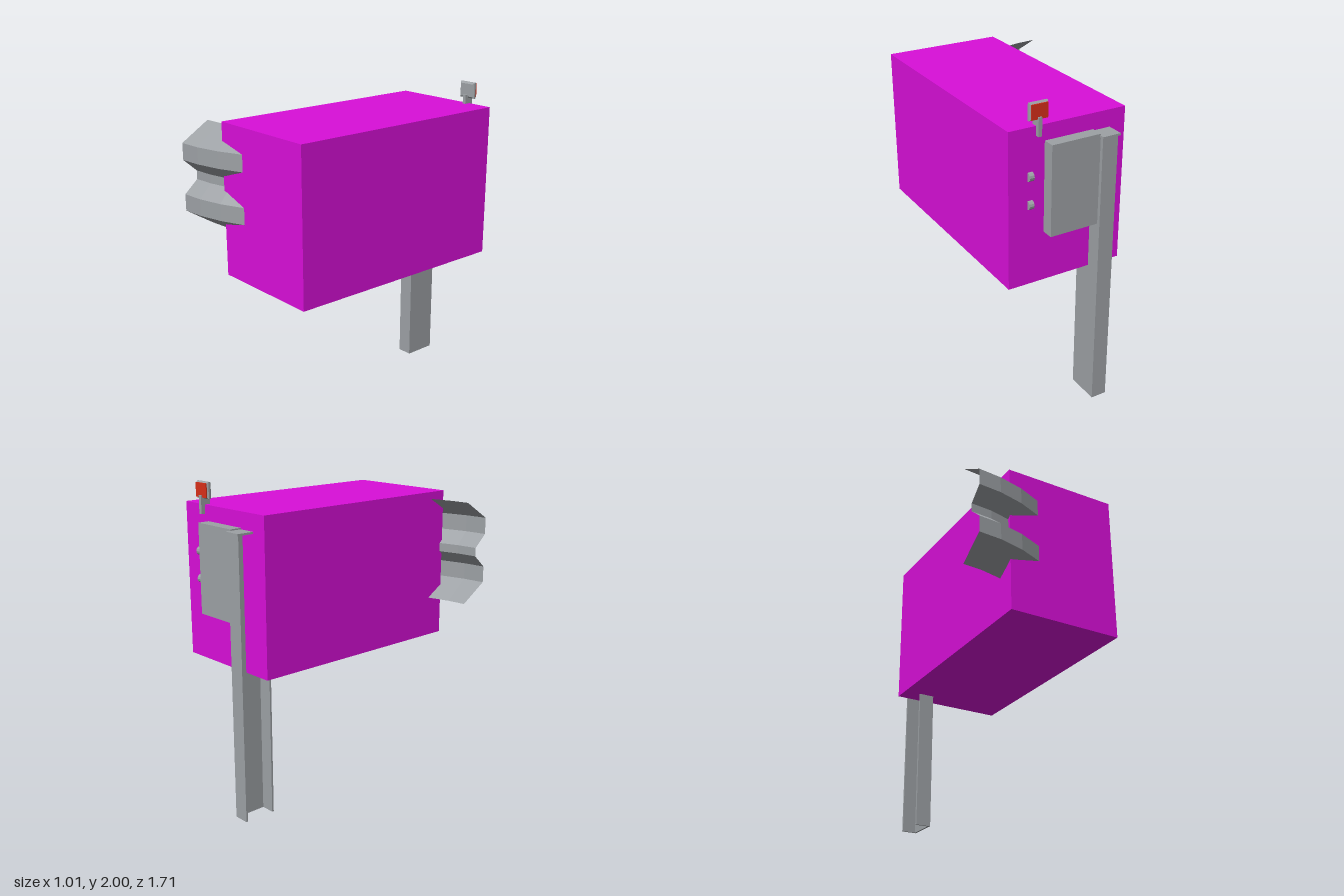
import * as THREE from 'three';

const mat = (name, color, extra = {}) => {
  const m = new THREE.MeshStandardMaterial({ color, ...extra });
  m.name = name;
  return m;
};

export function createModel() {
  const group = new THREE.Group();
  const magenta = mat('magenta', 0xd90fd9);
  const steel = mat('galvanised steel', 0x9da1a5, { side: THREE.DoubleSide, flatShading: true });
  const red = mat('reflector red', 0xd82f1a);

  const add = (name, geometry, material) => {
    const mesh = new THREE.Mesh(geometry, material);
    mesh.name = name;
    group.add(mesh);
    return mesh;
  };
  // Box given by its lower and upper limits on each axis
  const box = (name, material, [x0, x1], [y0, y1], [z0, z1]) => {
    const mesh = add(name, new THREE.BoxGeometry(x1 - x0, y1 - y0, z1 - z0), material);
    mesh.position.set((x0 + x1) / 2, (y0 + y1) / 2, (z0 + z1) / 2);
    return mesh;
  };

  // Large plain body
  box('body', magenta, [-0.24, 0.505], [0.91, 1.865], [-0.75, 0.745]);

  // C-shaped post, open towards -x, with a thin cap
  const channel = new THREE.Shape([
    [-0.13, 0.635], [-0.03, 0.635], [-0.03, 0.847], [-0.13, 0.847],
    [-0.13, 0.835], [-0.042, 0.835], [-0.042, 0.647], [-0.13, 0.647],
  ].map(([x, y]) => new THREE.Vector2(x, y)));
  const post = add('post', new THREE.ExtrudeGeometry(channel, { depth: 1.75, bevelEnabled: false }), steel);
  post.rotation.x = -Math.PI / 2;
  box('postCap', steel, [-0.14, -0.025], [1.75, 1.762], [-0.857, -0.63]);

  // Spacer block beside the post
  box('spacerBlock', steel, [-0.03, 0.28], [1.22, 1.77], [-0.825, -0.7]);

  // Bolt heads
  for (const y of [1.58, 1.41]) {
    const bolt = add('boltHead', new THREE.CylinderGeometry(0.027, 0.027, 0.03, 12), steel);
    bolt.rotation.z = Math.PI / 2;
    bolt.position.set(0.37, y, -0.748);
  }

  // Marker plate on a short stem, red on the back
  box('markerStem', steel, [0.313, 0.335], [1.81, 1.92], [-0.776, -0.712]);
  const plate = new THREE.Shape([
    [-0.048, -0.04], [0.048, -0.04], [0.048, 0.04], [-0.048, 0.04],
  ].map(([x, y]) => new THREE.Vector2(x, y)));
  const marker = add('markerPlate', new THREE.ExtrudeGeometry(plate, {
    depth: 0.012, bevelSize: 0.01, bevelThickness: 0.01, bevelSegments: 1,
  }), steel);
  marker.position.set(0.323, 1.95, -0.753);
  box('redReflector', red, [0.272, 0.374], [1.907, 1.993], [-0.768, -0.761]);

  // Curved corrugated rail: [height, inset from the outer face] swept along an arc
  const profile = [
    [1.82, 0.185], [1.705, 0], [1.6, 0], [1.52, 0.09],
    [1.465, 0.09], [1.385, 0], [1.28, 0], [1.165, 0.185],
  ];
  const angles = [0, 8, 17, 26, 35].map(THREE.MathUtils.degToRad);
  const positions = [];
  const index = [];
  angles.forEach((a, i) => profile.forEach(([y, inset], j) => {
    const r = 1.07 - inset;
    positions.push(-0.51 + r * Math.sin(a), y, -0.217 + r * Math.cos(a));
    if (i && j) {
      const n = profile.length, d = i * n + j, c = d - 1, b = d - n, e = b - 1;
      index.push(e, c, d, e, d, b);
    }
  }));
  const rail = new THREE.BufferGeometry();
  rail.setAttribute('position', new THREE.Float32BufferAttribute(positions, 3));
  rail.setIndex(index);
  const facetedRail = rail.toNonIndexed();
  facetedRail.computeVertexNormals();
  add('corrugatedRail', facetedRail, steel);

  return group;
}
